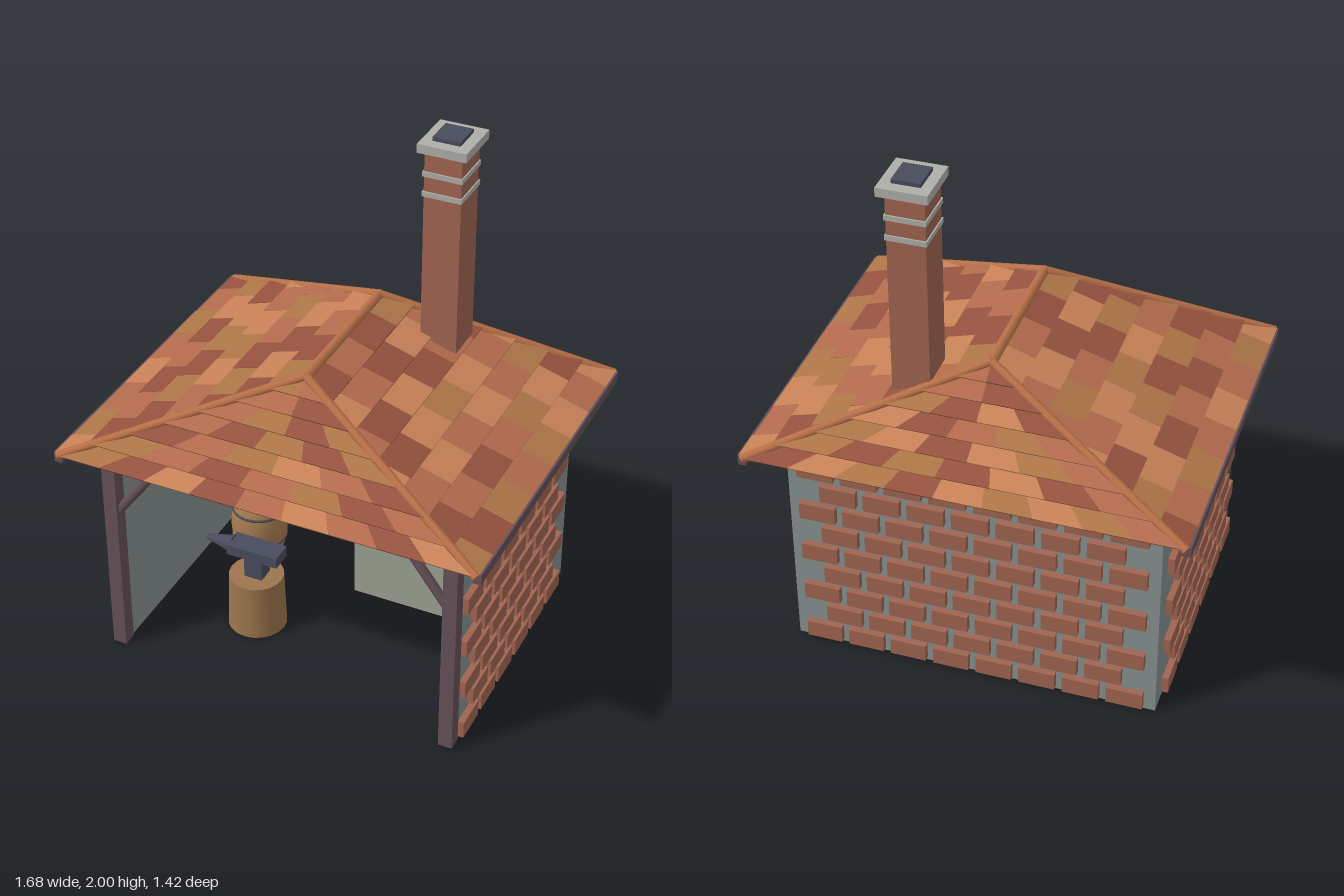
import * as THREE from 'three';

const V = (x, y, z) => new THREE.Vector3(x, y, z);
const mat = (color, extra = {}) => new THREE.MeshStandardMaterial({ color, ...extra });
const M = {
  wall: mat(0x869090), brick: mat(0xa06450), timber: mat(0x655058), stone: mat(0x9c9f90),
  cap: mat(0xadaea8), iron: mat(0x474b5c), wood: mat(0xa87c50), stump: mat(0x9c754c),
  fire: mat(0xe8601c), coal: mat(0xe8601c, { flatShading: true }), water: mat(0x3f9a94),
  ridge: mat(0xb87048), under: mat(0x54301f, { side: THREE.DoubleSide }),
};
const tileMats = [0xc88258, 0xae7548, 0x96523f, 0xb36b4e].map((c) => mat(c));

let seed = 11;
const rand = () => (seed = (seed * 16807) % 2147483647) / 2147483647;

function add(parent, name, geometry, material, x = 0, y = 0, z = 0) {
  const m = new THREE.Mesh(geometry, material);
  m.name = name;
  m.position.set(x, y, z);
  parent.add(m);
  return m;
}

// Box given by its limits on each axis
function box(parent, name, material, [x0, x1], [y0, y1], [z0, z1]) {
  return add(parent, name, new THREE.BoxGeometry(x1 - x0, y1 - y0, z1 - z0), material,
    (x0 + x1) / 2, (y0 + y1) / 2, (z0 + z1) / 2);
}

// Round bar between two points
function bar(parent, name, material, a, b, r, sides = 8) {
  const d = b.clone().sub(a), mid = a.clone().add(b).multiplyScalar(0.5);
  const m = add(parent, name, new THREE.CylinderGeometry(r, r, d.length(), sides), material, mid.x, mid.y, mid.z);
  m.quaternion.setFromUnitVectors(V(0, 1, 0), d.normalize());
  return m;
}

function group(parent, name) {
  const g = new THREE.Group();
  g.name = name;
  parent.add(g);
  return g;
}

// Flat-shaded geometry from a list of four-cornered faces
function quadGeometry(quads) {
  const points = quads.flatMap(([a, b, c, d]) => [a, b, c, a, c, d]);
  const g = new THREE.BufferGeometry().setFromPoints(points);
  g.computeVertexNormals();
  return g;
}

// Nine courses of raised bricks; place(u, y) gives the centre, size the brick box
function brickFace(parent, name, start, count, size, place) {
  const g = group(parent, name);
  const geo = new THREE.BoxGeometry(...size);
  for (let row = 0; row < 9; row++) {
    const odd = row % 2;
    for (let i = 0; i < count - odd; i++) {
      const p = place(start + (i + odd / 2) * 0.17, 0.05 + row * 0.097);
      add(g, 'brick', geo, M.brick, ...p);
    }
  }
}

// One roof slope facing angle a: sheet beneath, seven rows of stepped tiles above
const EAVE = 0.915, RIDGE = 1.262, ROWS = 7;
function roofSlope(parent, name, a, outLow, outHigh, halfLow, halfHigh, fan) {
  const g = group(parent, name);
  const out = V(Math.sin(a), 0, Math.cos(a)), side = V(Math.cos(a), 0, -Math.sin(a));
  const lerp = THREE.MathUtils.lerp;
  const half = (s) => lerp(halfLow, halfHigh, s);
  const at = (s, w) => out.clone().multiplyScalar(lerp(outLow, outHigh, s))
    .addScaledVector(side, w).setY(lerp(EAVE, RIDGE, s));
  const up = at(1, 0).sub(at(0, 0)).normalize();
  const normal = side.clone().cross(up);
  add(g, 'roofSheet', quadGeometry([[at(0, -halfLow), at(0, halfLow), at(1, halfHigh), at(1, -halfHigh)]]), M.under);

  const faces = tileMats.map(() => []);
  let last = 0;
  for (let row = 0; row < ROWS; row++) {
    const s0 = row / ROWS, s1 = (row + 1) / ROWS, h0 = half(s0), h1 = half(s1);
    const n = Math.max(2, Math.round((2 * h0) / 0.19));
    const clamp = (w, h) => Math.max(-h, Math.min(h, w));
    const shift = row % 2 ? 0.095 : 0;
    // Joints fan toward the peak on the hips and run straight on the long slopes
    const joints = [];
    if (fan) for (let i = 0; i <= n; i++) joints.push([h0 * (2 * i / n - 1), h1 * (2 * i / n - 1)]);
    else for (let w = -0.76 + shift; w < 0.96; w += 0.19) joints.push([clamp(w, h0), clamp(w, h1)]);
    for (let i = 0; i + 1 < joints.length; i++) {
      const [l0, l1] = joints[i], [r0, r1] = joints[i + 1];
      if (r0 - l0 < 0.004) continue;
      const lift = 0.018 + rand() * 0.005;
      const base = [at(s0, l0), at(s0, r0), at(s1, r1), at(s1, l1)];
      const top = base.map((p, k) => p.clone().addScaledVector(normal, k < 2 ? lift : 0.007));
      const pick = (last + 1 + Math.floor(rand() * 3)) % 4;
      last = pick;
      faces[pick].push(top);
      for (let k = 0; k < 4; k++) {
        const j = (k + 1) % 4;
        faces[pick].push([base[k], base[j], top[j], top[k]]);
      }
    }
  }
  faces.forEach((f, i) => f.length && add(g, 'roofTiles', quadGeometry(f), tileMats[i]));
}

export function createModel() {
  const root = new THREE.Group();
  root.name = 'forgeHouse';

  // Walls, with bricks on the outside
  const walls = group(root, 'walls');
  box(walls, 'backWall', M.wall, [-0.71, 0.71], [0, 0.88], [-0.555, -0.515]);
  brickFace(walls, 'backBricks', -0.595, 8, [0.14, 0.07, 0.03], (u, y) => [u, y, -0.565]);
  for (const s of [-1, 1]) {
    box(walls, 'sideWall', M.wall, s < 0 ? [-0.71, -0.665] : [0.665, 0.71], [0, 0.88], [-0.555, 0.53]);
    brickFace(walls, 'sideBricks', -0.395, 6, [0.03, 0.07, 0.14], (u, y) => [s * 0.72, y, u]);
  }

  // Timber front frame
  const frame = group(root, 'timberFrame');
  box(frame, 'frontBeam', M.timber, [-0.713, 0.713], [0.84, 0.9], [0.525, 0.582]);
  for (const s of [-1, 1]) {
    box(frame, 'post', M.timber, s < 0 ? [-0.713, -0.658] : [0.658, 0.713], [0, 0.86], [0.525, 0.582]);
    bar(frame, 'brace', M.timber, V(s * 0.68, 0.61, 0.55), V(s * 0.495, 0.86, 0.55), 0.018);
  }

  // Hipped roof
  const roof = group(root, 'roof');
  for (const s of [-1, 1]) {
    roofSlope(roof, 'longSlope', s * Math.PI / 2, 0.825, 0, 0.69, 0.31, false);
    roofSlope(roof, 'hipSlope', s > 0 ? 0 : Math.PI, 0.69, 0.31, 0.825, 0, true);
    box(roof, 'eaveBoard', M.timber, s < 0 ? [-0.84, -0.808] : [0.808, 0.84], [0.89, 0.932], [-0.69, 0.69]);
    for (const t of [-1, 1]) {
      bar(roof, 'hipCap', M.ridge, V(s * 0.825, 0.92, t * 0.693), V(0, 1.272, t * 0.31), 0.017);
    }
  }
  bar(roof, 'ridgeCap', M.ridge, V(0, 1.268, -0.32), V(0, 1.268, 0.32), 0.02);

  // Chimney
  const chimney = group(root, 'chimney');
  box(chimney, 'stack', M.brick, [0.2, 0.345], [0.64, 1.955], [-0.405, -0.245]);
  for (const y of [1.78, 1.86]) box(chimney, 'band', M.cap, [0.195, 0.35], [y - 0.01, y + 0.01], [-0.411, -0.239]);
  box(chimney, 'chimneyCap', M.cap, [0.18, 0.37], [1.95, 1.985], [-0.43, -0.22]);
  box(chimney, 'flue', M.iron, [0.22, 0.328], [1.98, 2], [-0.385, -0.265]);

  // Hearth
  const hearth = group(root, 'hearth');
  box(hearth, 'hearthBase', M.stone, [0.003, 0.543], [0, 0.25], [-0.525, -0.095]);
  box(hearth, 'pillarLeft', M.brick, [0.46, 0.535], [0.25, 0.54], [-0.515, -0.14]);
  box(hearth, 'pillarRight', M.brick, [0.012, 0.087], [0.25, 0.54], [-0.515, -0.14]);
  box(hearth, 'shelf', M.stone, [0.005, 0.54], [0.54, 0.565], [-0.515, -0.4]);
  box(hearth, 'hood', M.brick, [0.008, 0.54], [0.565, 0.65], [-0.515, -0.12]);
  box(hearth, 'fireBack', M.iron, [0.087, 0.46], [0.25, 0.565], [-0.515, -0.3]);
  box(hearth, 'fireGlow', M.fire, [0.115, 0.435], [0.25, 0.47], [-0.31, -0.285]);
  for (const x of [0.165, 0.275, 0.385]) {
    const coal = add(hearth, 'coal', new THREE.IcosahedronGeometry(0.053, 0), M.coal, x, 0.26, -0.22);
    coal.scale.y = 0.65;
  }

  // Anvil on its stump
  const anvil = group(root, 'anvil');
  anvil.position.set(-0.265, 0, 0.23);
  add(anvil, 'stump', new THREE.CylinderGeometry(0.108, 0.116, 0.232, 20), M.stump, 0, 0.116, 0);
  box(anvil, 'anvilWaist', M.iron, [-0.035, 0.04], [0.23, 0.33], [-0.035, 0.035]);
  box(anvil, 'anvilFace', M.iron, [-0.105, 0.11], [0.322, 0.367], [-0.045, 0.045]);
  const horn = add(anvil, 'horn', new THREE.CylinderGeometry(0.01, 0.037, 0.115, 12), M.iron, -0.155, 0.342, 0);
  horn.rotation.z = Math.PI / 2;

  // Quenching barrel
  const barrel = group(root, 'barrel');
  barrel.position.set(-0.48, 0, -0.21);
  const profile = [[0, 0.02], [0.085, 0.02], [0.085, 0], [0.098, 0], [0.112, 0.06], [0.117, 0.12],
    [0.112, 0.18], [0.098, 0.24], [0.085, 0.24], [0.085, 0.2]].map(([r, y]) => new THREE.Vector2(r, y));
  add(barrel, 'staves', new THREE.LatheGeometry(profile, 20), mat(0xa87c50, { side: THREE.DoubleSide }));
  add(barrel, 'water', new THREE.CylinderGeometry(0.086, 0.086, 0.01, 20), M.water, 0, 0.215, 0);
  for (const y of [0.055, 0.19]) {
    const hoop = add(barrel, 'hoop', new THREE.TorusGeometry(0.109, 0.006, 6, 24), M.iron, 0, y, 0);
    hoop.rotation.x = Math.PI / 2;
  }

  // Hammers hanging on the back wall
  for (const x of [-0.47, -0.33, -0.19]) {
    const hammer = group(root, 'hammer');
    hammer.position.set(x, 0, -0.495);
    bar(hammer, 'handle', M.wood, V(0, 0.43, 0), V(0, 0.69, 0), 0.009);
    box(hammer, 'hammerHead', M.iron, [-0.042, 0.042], [0.635, 0.67], [-0.018, 0.018]);
  }
  return root;
}
